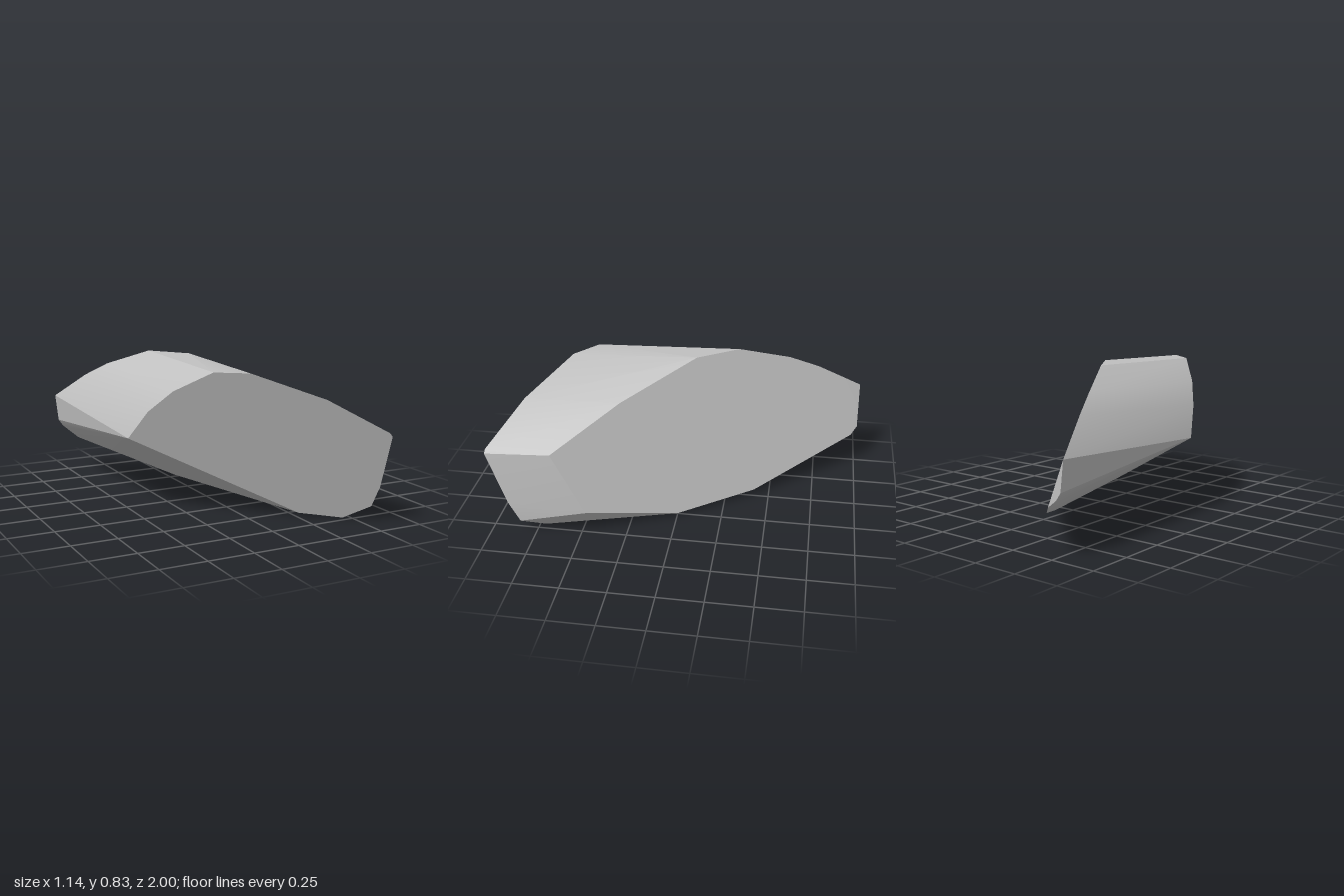
import * as THREE from 'three';
import { ConvexGeometry } from 'three/addons/geometries/ConvexGeometry.js';
import { toCreasedNormals } from 'three/addons/utils/BufferGeometryUtils.js';

// Outlines of the two slanted flat faces, as x, y pairs
const frontOutline = [
  [-0.535, 0.42], [-0.52, 0.45], [-0.47, 0.58], [-0.38, 0.7], [-0.23, 0.81], [-0.08, 0.81],
  [0.25, 0.68], [0.535, 0.51], [0.55, 0.49], [0.57, 0.2], [0.562, 0.08], [0.46, 0], [0.27, 0.015],
];
const backOutline = [
  [-0.575, 0.49], [-0.46, 0.65], [-0.38, 0.735], [-0.23, 0.835], [-0.08, 0.835], [0.23, 0.68],
  [0.52, 0.49], [0.53, 0.145], [0.27, 0.015], [-0.01, 0.035], [-0.44, 0.21], [-0.48, 0.25],
  [-0.53, 0.29], [-0.557, 0.33],
];

// Each outline is dropped onto its slanted plane; the back tip is cut off at z = -1
const frontZ = (x, y) => 0.778 * x + 0.438 * y + 0.357;
const backZ = (x, y) => Math.max(-1, (x + 0.38 * y - 0.277) / 0.66);
const place = (outline, depth) => outline.map(([x, y]) => new THREE.Vector3(x, y, depth(x, y)));

export function createModel() {
  const group = new THREE.Group();
  const stone = new THREE.MeshStandardMaterial({ color: 0xc0c0c0 });
  stone.name = 'stoneGrey';

  // Rock shard: hull of both faces, softly rounded sides with sharp rims
  const hull = new ConvexGeometry([...place(frontOutline, frontZ), ...place(backOutline, backZ)]);
  const shard = new THREE.Mesh(toCreasedNormals(hull, 0.4), stone);
  shard.name = 'rockShard';
  group.add(shard);
  return group;
}
